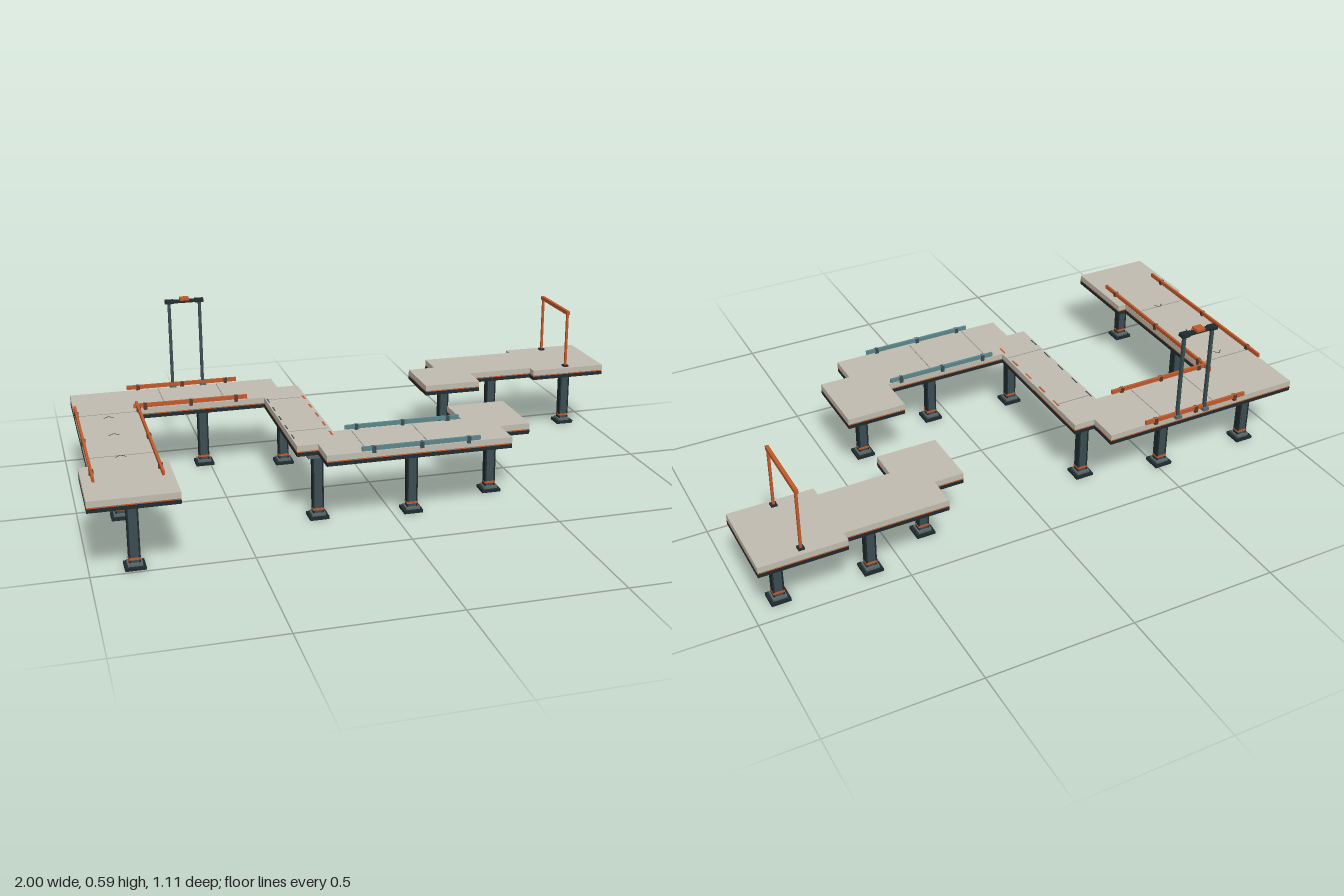
import * as THREE from 'three';

const material = (color) => {
  const m = new THREE.MeshStandardMaterial();
  m.color.set(color);
  return m;
};
const concrete = material(0xbfbbaf), dark = material(0x1f2a2d), steel = material(0x3a4c50);
const orange = material(0xc05a2c), teal = material(0x5c868c), seamGrey = material(0x8f8d85);
const plateGrey = material(0x59676a), brown = material(0x5a3a2e);

const MAIN = [
  [-1, .55], [-.725, .55], [-.725, .27], [-.755, .27], [-.755, -.24], [-.315, -.24], [-.315, .27],
  [-.245, .27], [-.245, .38], [.375, .38], [.375, .27], [.48, .27], [.48, .025], [.275, .025],
  [.275, .165], [-.17, .165], [-.17, -.345], [-.245, -.345], [-.245, -.45], [-.97, -.45], [-.97, .27], [-1, .27],
];
const ISLAND = [
  [.275, -.21], [.48, -.21], [.48, -.31], [.72, -.31], [.72, -.275], [1, -.275],
  [1, -.555], [.72, -.555], [.72, -.52], [.375, -.52], [.375, -.415], [.275, -.415],
];
const TOP = 0.262;

function box(parent, name, mat, w, h, d, x, y, z) {
  const m = new THREE.Mesh(new THREE.BoxGeometry(w, h, d), mat);
  m.name = name;
  m.position.set(x, y, z);
  parent.add(m);
  return m;
}

function group(parent, name, x = 0, y = 0, z = 0) {
  const g = new THREE.Group();
  g.name = name;
  g.position.set(x, y, z);
  parent.add(g);
  return g;
}

// One horizontal slab of a walkway outline, from y0 to y1
function slab(parent, name, mat, outline, y0, y1) {
  const shape = new THREE.Shape(outline.map(([x, z]) => new THREE.Vector2(x, -z)));
  const geo = new THREE.ExtrudeGeometry(shape, { depth: y1 - y0, bevelEnabled: false });
  geo.rotateX(-Math.PI / 2);
  const m = new THREE.Mesh(geo, mat);
  m.name = name;
  m.position.y = y0;
  parent.add(m);
}

function walkway(parent, name, outline) {
  const g = group(parent, name);
  slab(g, 'underside', dark, outline, 0.225, 0.238);
  slab(g, 'trimLine', orange, outline, 0.238, 0.242);
  slab(g, 'deck', concrete, outline, 0.242, TOP);
}

// Support column with stepped foot, flanges, orange collar, head plate and brace
function column(parent, x, z) {
  const g = group(parent, 'column', x, 0, z);
  box(g, 'footPlate', dark, 0.064, 0.01, 0.062, 0, 0.005, 0);
  box(g, 'footStep', plateGrey, 0.046, 0.008, 0.044, 0, 0.014, 0);
  box(g, 'shaft', steel, 0.028, 0.194, 0.024, 0, 0.115, 0);
  for (const s of [-1, 1]) box(g, 'flange', dark, 0.005, 0.194, 0.026, s * 0.0155, 0.115, 0);
  box(g, 'collar', orange, 0.038, 0.007, 0.028, 0, 0.031, 0);
  box(g, 'headPlate', plateGrey, 0.07, 0.013, 0.047, 0, 0.2185, 0);
  const brace = box(g, 'brace', steel, 0.055, 0.004, 0.006, 0.028, 0.197, 0);
  brace.rotation.z = Math.PI / 4;
}

// Low edge rail with clamps; along is 'x' or 'z'
function rail(parent, mat, along, from, to, side) {
  const g = group(parent, 'edgeRail');
  const put = (name, m, len, h, thick, at, y) => along === 'x'
    ? box(g, name, m, len, h, thick, at, y, side)
    : box(g, name, m, thick, h, len, side, y, at);
  const mid = (from + to) / 2, span = to - from;
  put('railBar', mat, span, 0.014, 0.008, mid, 0.272);
  for (const t of [-0.4, 0, 0.4]) put('railClamp', mat === teal ? steel : brown, 0.012, 0.022, 0.014, mid + span * t, 0.268);
}

export function createModel() {
  const model = new THREE.Group();
  model.name = 'elevatedCourse';

  walkway(model, 'mainWalkway', MAIN);
  walkway(model, 'islandWalkway', ISLAND);

  const columns = [
    [-.863, .46], [-.863, .07], [-.863, -.343], [-.52, -.343], [-.243, -.275], [-.243, .243],
    [.067, .275], [.377, .175], [.377, -.317], [.6, -.41], [.905, -.41],
  ];
  columns.forEach(([x, z]) => column(model, x, z));

  // Edge rails
  for (const x of [-.966, -.757]) rail(model, orange, 'z', -.275, .412, x);
  for (const z of [-.452, -.242]) rail(model, orange, 'x', -.77, -.375, z);
  for (const z of [.167, .378]) rail(model, teal, 'x', -.13, .265, z);

  // Deck seams
  const seams = group(model, 'deckSeams');
  for (const z of [-.21, .2]) box(seams, 'seam', seamGrey, .2, .001, .003, -.863, TOP, z);
  for (const z of [-.21, .13]) box(seams, 'seam', seamGrey, .135, .001, .003, -.243, TOP, z);
  for (const x of [-.66, -.45]) box(seams, 'seam', seamGrey, .003, .001, .2, x, TOP, -.345);
  for (const x of [-.11, .1]) box(seams, 'seam', seamGrey, .003, .001, .2, x, TOP, .272);

  // Dashed edge markings on the narrow bridge
  const dashes = group(model, 'edgeMarkings');
  for (let i = 0; i < 5; i++) {
    const z = -.202 + i * .096;
    box(dashes, 'orangeDash', orange, .006, .002, .038, -.18, TOP, z);
    box(dashes, 'greyDash', steel, .004, .002, .038, -.308, TOP, z);
  }

  // Direction chevrons
  for (const z of [-.175, 0, .205]) {
    const chevron = group(model, 'chevron', -.863, TOP, z);
    for (const s of [-1, 1]) {
      box(chevron, 'chevronArm', steel, .024, .0015, .003, s * .008, 0, 0).rotation.y = -s * Math.PI / 4;
    }
  }

  // Tall signal gantry on the back edge
  const gantry = group(model, 'signalGantry', -.551, 0, -.455);
  for (const s of [-1, 1]) {
    box(gantry, 'gantryFoot', plateGrey, .022, .01, .028, s * .054, .265, 0);
    box(gantry, 'gantryPost', steel, .01, .31, .01, s * .054, .417, 0);
    box(gantry, 'gantryShoulder', dark, .03, .012, .024, s * .053, .576, 0);
  }
  box(gantry, 'gantryBeam', dark, .136, .01, .016, 0, .576, 0);
  box(gantry, 'signalLamp', orange, .032, .009, .03, 0, .585, 0);

  // Finish gate on the island
  const gate = group(model, 'finishGate', .858, 0, -.413);
  for (const s of [-1, 1]) {
    box(gate, 'gateFoot', dark, .02, .006, .022, 0, .264, s * .115);
    box(gate, 'gatePost', orange, .008, .205, .008, 0, .365, s * .115);
  }
  box(gate, 'gateBeam', orange, .011, .014, .248, 0, .47, 0);

  return model;
}
